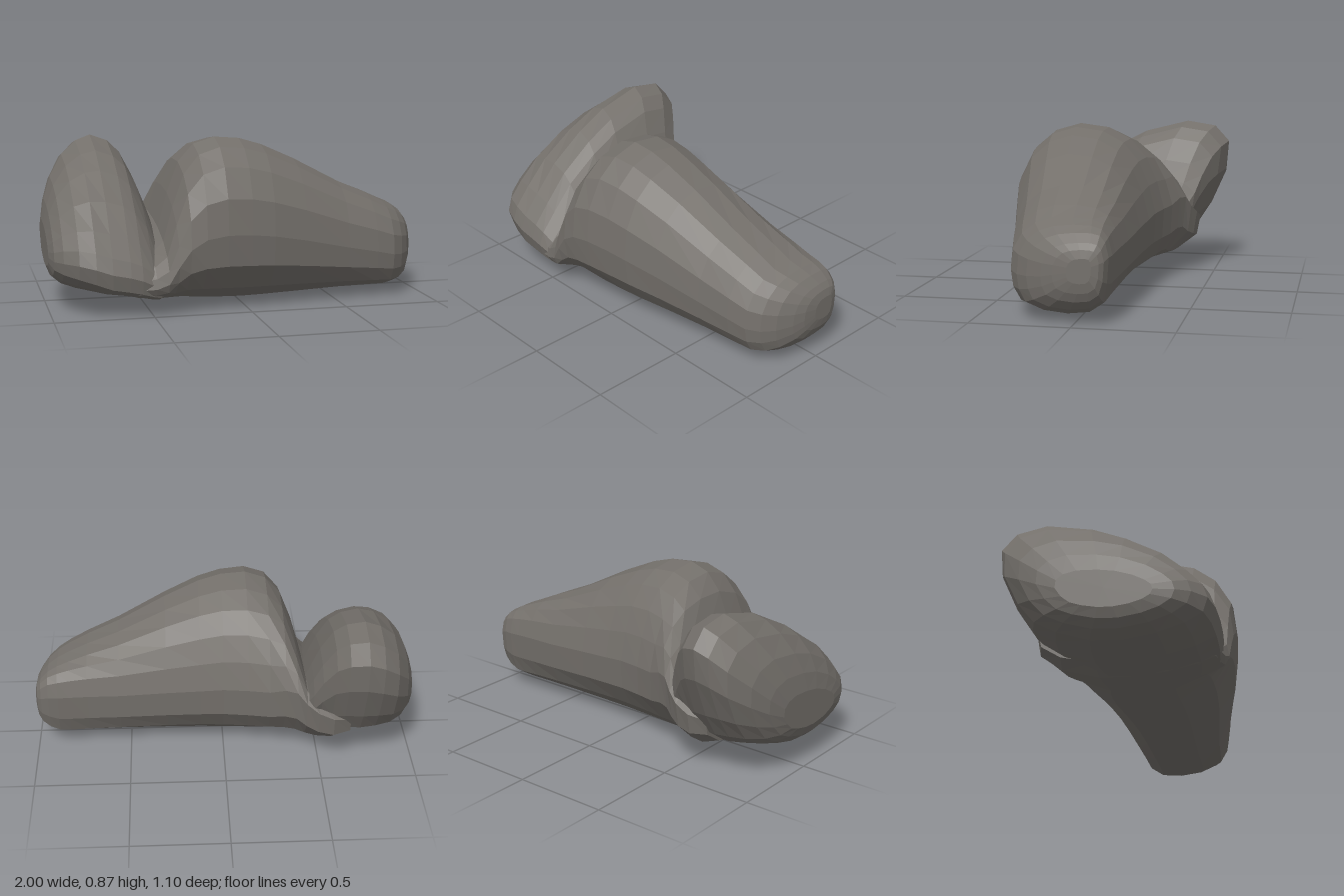
import * as THREE from 'three';

// Rescales a closed [z, y] outline to the unit square
function unit(outline) {
  const zs = outline.map((p) => p[0]), ys = outline.map((p) => p[1]);
  const z0 = Math.min(...zs), zr = Math.max(...zs) - z0;
  const y0 = Math.min(...ys), yr = Math.max(...ys) - y0;
  return outline.map(([z, y]) => [(z - z0) / zr, (y - y0) / yr]);
}

// Lofts along x. Each section is [x, zMin, zMax, yMin, yMax, t], where t blends
// between the outlines in order (0 = first, 1 = second, ...).
function loft(outlines, sections) {
  const shapes = outlines.map(unit);
  const n = shapes[0].length, pos = [], idx = [];
  for (const [x, za, zb, ya, yb, t] of sections) {
    const lo = Math.min(Math.floor(t), shapes.length - 2), f = t - lo;
    const ring = unit(shapes[lo].map(([z, y], j) => {
      const [z1, y1] = shapes[lo + 1][j];
      return [z + (z1 - z) * f, y + (y1 - y) * f];
    }));
    for (const [z, y] of ring) pos.push(x, ya + y * (yb - ya), za + z * (zb - za));
  }
  const last = sections.length - 1;
  for (let i = 0; i < last; i++) {
    for (let j = 0; j < n; j++) {
      const k = (j + 1) % n;
      const a = i * n + j, b = i * n + k, c = a + n, d = b + n;
      idx.push(a, c, b, b, c, d);
    }
  }
  // End caps
  for (const s of [0, last]) {
    const [x, za, zb, ya, yb] = sections[s];
    const centre = pos.length / 3;
    pos.push(x, (ya + yb) / 2, (za + zb) / 2);
    for (let j = 0; j < n; j++) {
      const p = s * n + j, q = s * n + ((j + 1) % n);
      if (s === 0) idx.push(centre, p, q);
      else idx.push(centre, q, p);
    }
  }
  const geo = new THREE.BufferGeometry();
  geo.setAttribute('position', new THREE.Float32BufferAttribute(pos, 3));
  geo.setIndex(idx);
  geo.computeVertexNormals();
  return geo;
}

export function createModel() {
  const group = new THREE.Group();
  const stone = new THREE.MeshStandardMaterial({ color: 0x74706b, flatShading: true });
  stone.name = 'warm grey';

  function addPart(name, outlines, sections) {
    const mesh = new THREE.Mesh(loft(outlines, sections), stone);
    mesh.name = name;
    group.add(mesh);
  }

  // Body: low tilted root in the fold, tall middle, blunt boxy tip at +x
  const bodyRoot = [
    [0.53, 0.16], [0.52, 0.22], [0.47, 0.28], [0.36, 0.34], [0.2, 0.39], [0.04, 0.42],
    [-0.12, 0.44], [-0.24, 0.45], [-0.33, 0.44], [-0.38, 0.39], [-0.36, 0.24], [-0.25, 0.12],
    [-0.06, 0.04], [0.09, 0.03], [0.26, 0.04], [0.42, 0.08], [0.51, 0.12],
  ];
  const bodyMiddle = [
    [0.55, 0.4], [0.53, 0.58], [0.45, 0.73], [0.34, 0.82], [0.2, 0.86], [0.04, 0.84],
    [-0.08, 0.78], [-0.17, 0.68], [-0.23, 0.55], [-0.27, 0.4], [-0.26, 0.24], [-0.18, 0.12],
    [-0.06, 0.03], [0.09, 0], [0.26, 0.03], [0.43, 0.11], [0.53, 0.24],
  ];
  const bodyTip = [
    [0.33, 0.22], [0.32, 0.3], [0.28, 0.36], [0.22, 0.4], [0.15, 0.42], [0.05, 0.43],
    [-0.04, 0.43], [-0.09, 0.42], [-0.12, 0.39], [-0.14, 0.32], [-0.13, 0.2], [-0.1, 0.12],
    [-0.03, 0.08], [0.08, 0.07], [0.2, 0.08], [0.29, 0.11], [0.32, 0.16],
  ];
  addPart('body', [bodyRoot, bodyMiddle, bodyTip], [
    [-0.66, -0.38, 0.44, 0.09, 0.32, 0],
    [-0.57, -0.41, 0.51, 0.045, 0.35, 0],
    [-0.49, -0.4, 0.525, 0.035, 0.39, 0],
    [-0.43, -0.375, 0.535, 0.03, 0.45, 0.1],
    [-0.38, -0.35, 0.54, 0.025, 0.6, 0.45],
    [-0.32, -0.325, 0.545, 0.02, 0.74, 0.75],
    [-0.24, -0.295, 0.547, 0.01, 0.83, 0.95],
    [-0.13, -0.265, 0.54, 0.003, 0.865, 1],
    [0, -0.24, 0.52, 0, 0.855, 1],
    [0.12, -0.225, 0.5, 0.003, 0.82, 1],
    [0.3, -0.21, 0.455, 0.01, 0.74, 1.1],
    [0.55, -0.195, 0.395, 0.022, 0.61, 1.35],
    [0.72, -0.185, 0.36, 0.027, 0.54, 1.6],
    [0.82, -0.18, 0.335, 0.03, 0.495, 1.8],
    [0.88, -0.178, 0.29, 0.04, 0.47, 1.9],
    [0.93, -0.17, 0.23, 0.07, 0.44, 2],
    [0.97, -0.155, 0.15, 0.115, 0.4, 2],
    [0.99, -0.135, 0.09, 0.16, 0.37, 2],
    [1, -0.1, 0.02, 0.21, 0.33, 2],
  ]);

  // Leaning lobe, low at the front and high at the back, rounder on its outer side
  const lobeOuter = [
    [0.54, 0.3], [0.52, 0.4], [0.45, 0.5], [0.32, 0.62], [0.12, 0.74], [-0.07, 0.8],
    [-0.31, 0.83], [-0.46, 0.78], [-0.54, 0.68], [-0.55, 0.52], [-0.48, 0.34], [-0.38, 0.2],
    [-0.25, 0.12], [-0.07, 0.05], [0.1, 0.03], [0.28, 0.06], [0.42, 0.12], [0.51, 0.2],
  ];
  const lobeInner = [
    [0.54, 0.2], [0.51, 0.28], [0.42, 0.39], [0.29, 0.54], [0.1, 0.68], [-0.07, 0.77],
    [-0.31, 0.835], [-0.47, 0.81], [-0.55, 0.72], [-0.53, 0.55], [-0.44, 0.33], [-0.36, 0.2],
    [-0.25, 0.12], [-0.07, 0.04], [0.1, 0.03], [0.28, 0.05], [0.42, 0.08], [0.52, 0.12],
  ];
  addPart('lobe', [lobeOuter, lobeInner], [
    [-1, -0.2, 0.27, 0.21, 0.42, 0],
    [-0.98, -0.3, 0.37, 0.16, 0.52, 0.1],
    [-0.94, -0.4, 0.44, 0.125, 0.63, 0.25],
    [-0.87, -0.5, 0.505, 0.1, 0.74, 0.5],
    [-0.79, -0.545, 0.53, 0.08, 0.81, 0.75],
    [-0.71, -0.555, 0.538, 0.06, 0.84, 0.95],
    [-0.62, -0.52, 0.535, 0.05, 0.81, 1],
    [-0.56, -0.475, 0.53, 0.042, 0.75, 1],
    [-0.5, -0.425, 0.515, 0.036, 0.63, 1],
    [-0.46, -0.39, 0.49, 0.035, 0.52, 1],
    [-0.42, -0.33, 0.42, 0.05, 0.4, 1],
    [-0.36, -0.22, 0.3, 0.08, 0.28, 1],
  ]);
  return group;
}
